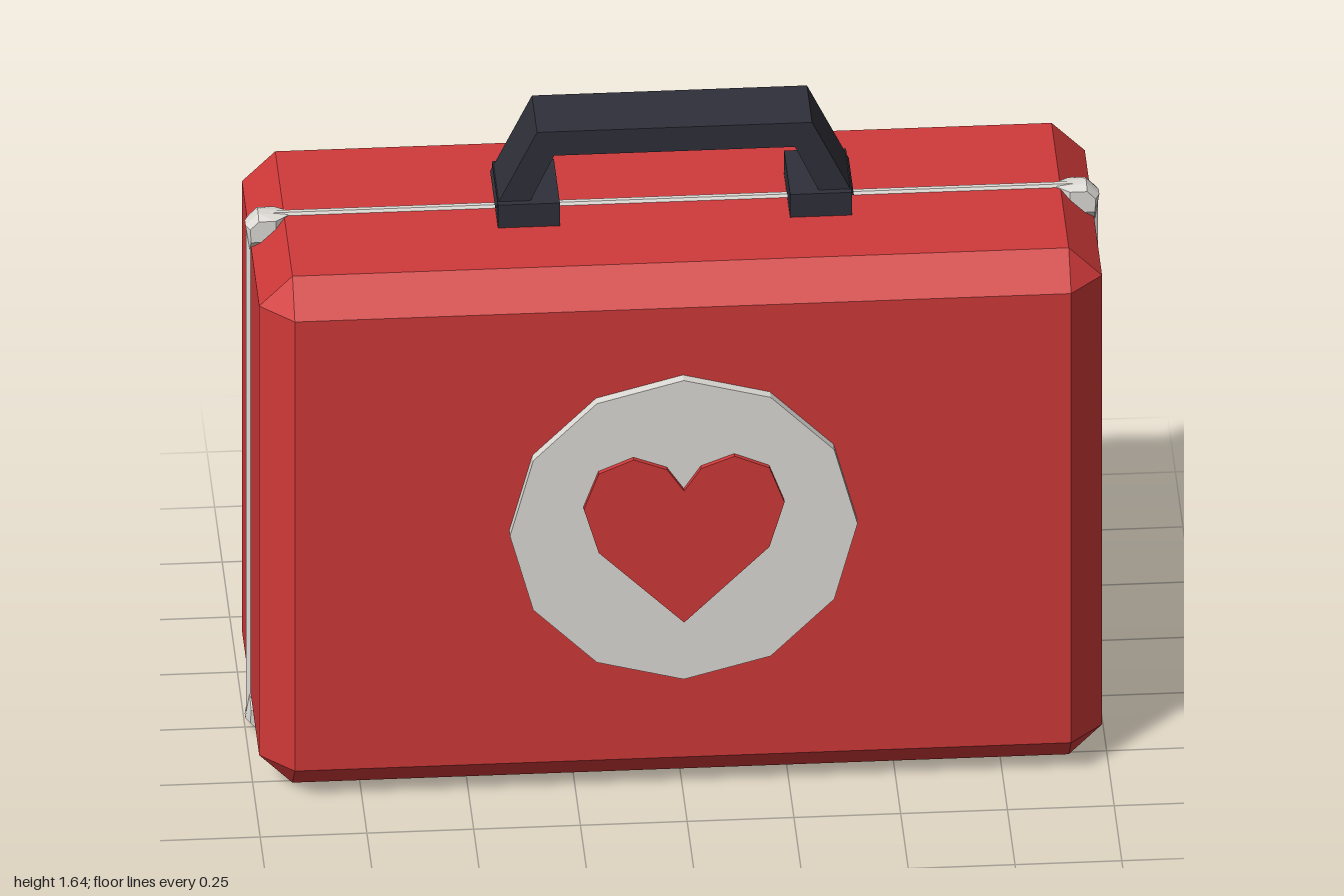
import * as THREE from 'three';
import { ConvexGeometry } from 'three/addons/geometries/ConvexGeometry.js';

const mat = (name, color) => new THREE.MeshStandardMaterial({ name, color, flatShading: true });

export function createModel() {
  const red = mat('caseRed', 0xd03939);
  const white = mat('paleTrim', 0xdedbd6);
  const steel = mat('hingeSteel', 0x8c98a6);
  const dark = mat('handleDark', 0x2f3039);

  const model = new THREE.Group();
  model.name = 'medicalCase';
  const add = (name, geometry, material, x = 0, y = 0, z = 0) => {
    const mesh = new THREE.Mesh(geometry, material);
    mesh.name = name;
    mesh.position.set(x, y, z);
    model.add(mesh);
    return mesh;
  };
  const signs = [-1, 1];
  const V = (x, y, z) => new THREE.Vector3(x, y, z);
  const extrude = (pts, depth) => new THREE.ExtrudeGeometry(
    new THREE.Shape(pts.map(([x, y]) => new THREE.Vector2(x, y))), { depth, bevelEnabled: false });

  // Case body: box with every edge chamfered
  const [hx, hy, hz, c] = [0.987, 0.69, 0.362, 0.078];
  const bodyPoints = [];
  for (const a of signs) for (const b of signs) for (const d of signs) {
    bodyPoints.push(
      V(a * hx, b * (hy - c), d * (hz - c)),
      V(a * (hx - c), b * hy, d * (hz - c)),
      V(a * (hx - c), b * (hy - c), d * hz));
  }
  add('caseBody', new ConvexGeometry(bodyPoints), red, 0, 0.705, 0);

  // Seam rods running around the middle of the case
  const midY = 0.7025;
  for (const s of signs) {
    add('seamSide', new THREE.CylinderGeometry(0.011, 0.011, 1.34, 6), white, s * 0.988, midY, 0);
    const rod = add('seamEdge', new THREE.CylinderGeometry(0.011, 0.011, 1.9, 6), white, 0, midY + s * 0.69, 0);
    rod.rotation.z = Math.PI / 2;
  }

  // Faceted corner guards on the seam
  const inner = [[1.0, 0.672], [0.97, 0.7025], [0.9, 0.695], [0.99, 0.607], [0.9, 0.607]];
  const outer = [[0.99, 0.672], [0.97, 0.693], [0.93, 0.693], [0.988, 0.637], [0.93, 0.637]];
  for (const a of signs) for (const b of signs) {
    const pts = [];
    for (const d of signs) {
      inner.forEach(([x, y]) => pts.push(V(a * x, b * y, d * 0.011)));
      outer.forEach(([x, y]) => pts.push(V(a * x, b * y, d * 0.034)));
    }
    add('cornerGuard', new ConvexGeometry(pts), white, 0, midY, 0);
  }

  // Twelve-sided badge with a raised heart, front and back
  const half = [[0.2, 0.68], [0.235, 0.8], [0.2, 0.895], [0.118, 0.93], [0.04, 0.9]];
  const heart = [[0, 0.482], ...half, [0, 0.84],
    ...half.map(([x, y]) => [-x, y]).reverse()];
  for (const s of signs) {
    const disc = add('badgeDisc', new THREE.CylinderGeometry(0.407, 0.407, 0.035, 12), white, 0, 0.727, s * 0.37);
    disc.rotation.x = Math.PI / 2;
    add('badgeHeart', extrude(heart, 0.03), red, 0, 0, s > 0 ? 0.37 : -0.4);
  }

  // Hinge plates on the back, and handle feet on the top
  for (const s of signs) {
    add('hingePlate', new THREE.BoxGeometry(0.195, 0.22, 0.045), steel, s * 0.625, 1.21, -0.3725);
    add('handleFoot', new THREE.BoxGeometry(0.145, 0.07, 0.2), dark, s * 0.342, 1.422, 0);
  }

  // Carrying handle
  const handle = [[-0.42, 1.44], [-0.322, 1.642], [0.322, 1.642], [0.42, 1.44],
    [0.345, 1.44], [0.282, 1.577], [-0.282, 1.577], [-0.345, 1.44]];
  add('handle', extrude(handle, 0.168), dark, 0, 0, -0.084);

  return model;
}
